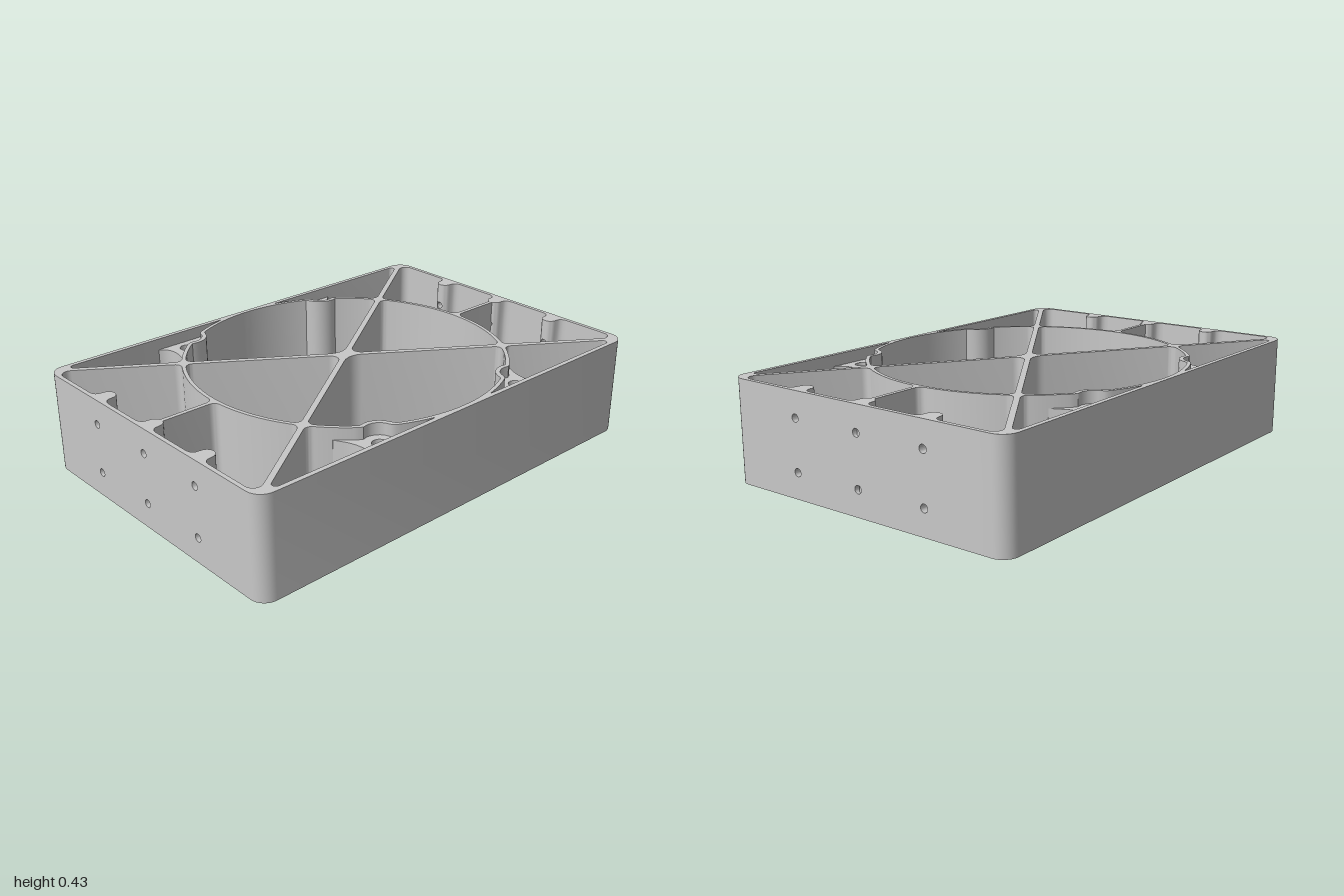
import * as THREE from 'three';
import { toCreasedNormals, mergeGeometries } from 'three/addons/utils/BufferGeometryUtils.js';

const H = 0.427, HX = 1, HZ = 0.68;          // height and half sizes
const WX = 0.982, WZ = 0.66;                 // inner faces of the end and long walls
const RIB = 0.012, A = Math.atan2(HZ, HX);   // diagonal rib half width and angle
const RI = 0.66, RO = 0.676;                 // ring radii
const BOSS = [0.38, 0.6];                    // screw boss centre
const NOSE = 0.033, HOLE = NOSE / 2, HOLE_Y = [0.108, 0.32];
const deg = Math.PI / 180;

// Closed counter-clockwise outline from [x, z, rounding] corners, rounded by arcs
function outline(corners, Type = THREE.Shape) {
  const pts = corners.map(([x, z, t = 0]) => ({ p: new THREE.Vector2(x, z), t }));
  if (THREE.ShapeUtils.area(pts.map(c => c.p)) < 0) pts.reverse();
  const path = new Type();
  const n = pts.length;
  pts.forEach(({ p, t }, i) => {
    const before = pts[(i + n - 1) % n].p.clone().sub(p).normalize();
    const after = pts[(i + 1) % n].p.clone().sub(p).normalize();
    const s = p.clone().addScaledVector(before, t);
    if (i) path.lineTo(s.x, s.y); else path.moveTo(s.x, s.y);
    if (t) {
      const turn = Math.PI - before.angleTo(after);
      const k = t * (1 - 4 / 3 * Math.tan(turn / 4) / Math.tan(turn / 2));
      const c1 = p.clone().addScaledVector(before, k), c2 = p.clone().addScaledVector(after, k);
      const e = p.clone().addScaledVector(after, t);
      path.bezierCurveTo(c1.x, c1.y, c2.x, c2.y, e.x, e.y);
    }
  });
  path.closePath();
  return path;
}

const flip = (pts, sx, sz) => pts.map(([x, z, t]) => [x * sx, z * sz, t]);
const polar = (r, a, t) => [r * Math.cos(a), r * Math.sin(a), t];

// Ring radius at an angle, dented inward around the screw bosses
function ringRadius(a, ring, boss) {
  const d = Math.hypot(...BOSS);
  const folded = Math.atan2(Math.abs(Math.sin(a)), Math.abs(Math.cos(a)));
  const f = folded - Math.atan2(BOSS[1], BOSS[0]);
  const q = boss * boss - (d * Math.sin(f)) ** 2;
  return q > 0 ? Math.min(ring, d * Math.cos(f) - Math.sqrt(q)) : ring;
}
function arc(from, to, ring, boss) {
  const n = Math.ceil(Math.abs(to - from) / 1.5), pts = [];
  for (let i = 0; i <= n; i++) {
    const a = (from + (to - from) * i / n) * deg;
    pts.push(polar(ringRadius(a, ring, boss), a));
  }
  return pts;
}

// Extrude a plan outline upward from the base
function rise(shape, height) {
  const g = new THREE.ExtrudeGeometry(shape, { depth: height, bevelEnabled: false, curveSegments: 8 });
  g.rotateX(Math.PI / 2).translate(0, height, 0);
  return toCreasedNormals(g, 0.5);
}

function bodyGeometry() {
  const lo = RIB / RO, li = RIB / RI;
  // One quarter of the outer contour; the end walls are left open for drilled plates
  const quarter = [
    [HX, HZ, 0.065], [HX, 0.56], [WX, 0.56],
    [WX, WX * HZ - RIB / Math.cos(A), 0.064],
    polar(RO, A - lo, 0.03), ...arc(30, 4, RO, 0),
    [RO, 0.009, 0.03], [0.985, 0.009],
  ];
  const body = outline([
    ...quarter, ...flip(quarter, 1, -1).reverse(),
    ...flip(quarter, -1, -1), ...flip(quarter, -1, 1).reverse(),
  ]);

  // Pockets between the ring and the long walls
  const pocket = [
    [WZ * HX / HZ - RIB / Math.sin(A), WZ, 0.052], [0.155, WZ],
    ...arc(76.6, 38.5, RO, 0.066), polar(RO, A + lo, 0.03),
  ];
  for (const sx of [1, -1]) for (const sz of [1, -1])
    body.holes.push(outline(flip(pocket, sx, sz), THREE.Path));

  // Four openings inside the ring
  const side = [
    [RIB / Math.sin(A), 0, 0.055], polar(RI, -A + li, 0.03),
    ...arc(-30, 30, RI, 0), polar(RI, A - li, 0.03),
  ];
  const front = [
    [0, RIB / Math.cos(A), 0.06], polar(RI, A + li, 0.03),
    ...arc(38.5, 141.5, RI, 0.085), polar(RI, Math.PI - A - li, 0.03),
  ];
  for (const s of [1, -1]) {
    body.holes.push(outline(flip(side, s, 1), THREE.Path));
    body.holes.push(outline(flip(front, 1, s), THREE.Path));
  }
  return rise(body, H);
}

// Web that joins ring and long wall, with a screw hole
function bossGeometry(sx, sz) {
  const web = [
    ...arc(77.5, 43.5, RO - 0.006, 0.075),
    [0.49, 0.468], [0.447, 0.55, 0.05], [0.452, 0.635, 0.035], [0.49, 0.663], [0.16, 0.67],
  ];
  const shape = outline(flip(web, sx, sz));
  const hole = new THREE.Path();
  hole.absarc(BOSS[0] * sx, BOSS[1] * sz, 0.031, 0, Math.PI * 2);
  shape.holes.push(hole);
  return rise(shape, H - 0.05);
}

// Flat drilled end wall on the +x side
function endWallGeometry() {
  const s = outline([[-0.565, 0], [0.565, 0], [0.565, H], [-0.565, H]]);
  for (const z of [-0.32, 0, 0.32]) for (const y of HOLE_Y) {
    const h = new THREE.Path();
    h.absarc(z, y, HOLE, 0, Math.PI * 2);
    s.holes.push(h);
  }
  const g = new THREE.ExtrudeGeometry(s, { depth: HX - WX, bevelEnabled: false });
  g.rotateY(Math.PI / 2).translate(WX, 0, 0);
  return toCreasedNormals(g, 0.5);
}

// Round-nosed drilled lug on the inside of the +x wall
function lugGeometry() {
  const half = [[WX, 0.066], [WX - 0.003, 0.052], [WX - 0.01, 0.041], [WX - 0.02, 0.035]];
  const profile = half.map(([x, z]) => [x, -z]);
  for (let i = -6; i <= 6; i++) {
    const t = i * Math.PI / 12;
    profile.push([WX - 0.038 - NOSE * Math.cos(t), NOSE * Math.sin(t)]);
  }
  profile.push(...half.reverse());

  const pos = [];
  const gap = z => Math.sqrt(Math.max(0, HOLE * HOLE - z * z));
  const levels = z => [0, HOLE_Y[0] - gap(z), HOLE_Y[0] + gap(z), HOLE_Y[1] - gap(z), HOLE_Y[1] + gap(z), H];
  for (let i = 0; i < profile.length - 1; i++) {
    const [x0, z0] = profile[i], [x1, z1] = profile[i + 1];
    const l0 = levels(z0), l1 = levels(z1);
    for (let k = 0; k < 6; k += 2) {
      const a = [x0, l0[k], z0], b = [x1, l1[k], z1], c = [x1, l1[k + 1], z1], d = [x0, l0[k + 1], z0];
      pos.push(...a, ...b, ...c, ...a, ...c, ...d);
    }
  }
  const skin = new THREE.BufferGeometry();
  skin.setAttribute('position', new THREE.Float32BufferAttribute(pos, 3));

  // End caps and hole linings
  const cap = new THREE.ShapeGeometry(outline(profile));
  const parts = [skin, cap.clone().rotateX(Math.PI / 2), cap.clone().rotateX(-Math.PI / 2).translate(0, H, 0)];
  for (const y of HOLE_Y) {
    const tube = new THREE.CylinderGeometry(HOLE, HOLE, 0.084, 20, 1, true);
    parts.push(tube.scale(-1, 1, 1).rotateZ(Math.PI / 2).translate(0.957, y, 0));
  }
  const plain = parts.map(g => {
    const p = g.index ? g.toNonIndexed() : g;
    p.deleteAttribute('uv');
    p.deleteAttribute('normal');
    return p;
  });
  return toCreasedNormals(mergeGeometries(plain), 0.6);
}

export function createModel() {
  const model = new THREE.Group();
  model.name = 'ribbedFrame';
  const grey = new THREE.MeshStandardMaterial({ color: 0xc8c8c8 });
  grey.name = 'lightGrey';
  const add = (name, geometry, parent = model) => {
    const mesh = new THREE.Mesh(geometry, grey);
    mesh.name = name;
    parent.add(mesh);
    return mesh;
  };

  add('frameRingAndRibs', bodyGeometry());
  for (const sx of [1, -1]) for (const sz of [1, -1]) add('screwBoss', bossGeometry(sx, sz));

  // Drilled ends, the second turned half round
  const wall = endWallGeometry(), lug = lugGeometry();
  for (const turn of [0, Math.PI]) {
    const end = new THREE.Group();
    end.name = turn ? 'rightEnd' : 'leftEnd';
    end.rotation.y = turn;
    add('endWall', wall, end);
    for (const z of [-0.32, 0, 0.32]) add('drilledLug', lug, end).position.z = z;
    model.add(end);
  }
  return model;
}
